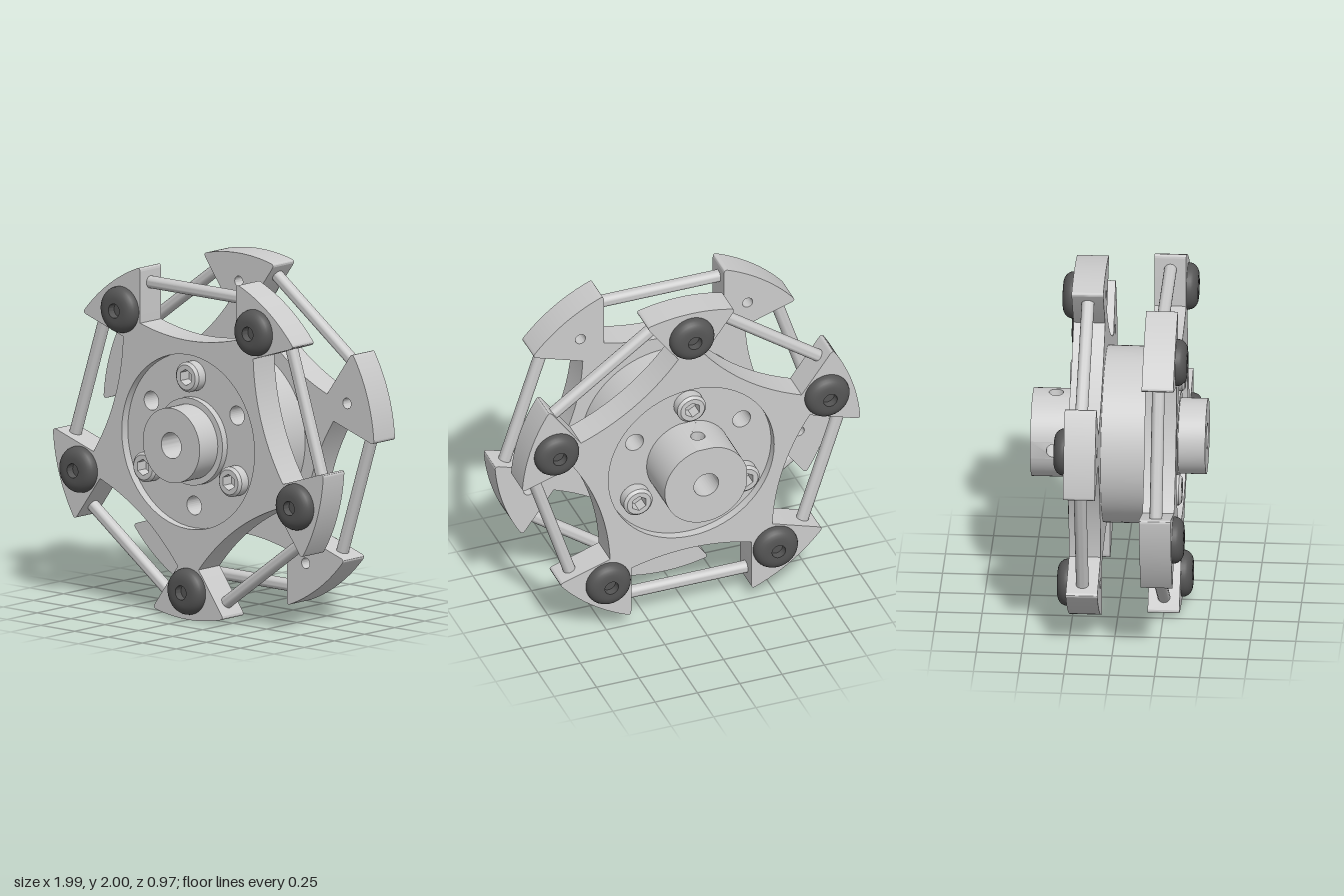
import * as THREE from 'three';
import { toCreasedNormals } from 'three/addons/utils/BufferGeometryUtils.js';

const RAD = Math.PI / 180;
const BORE = 0.073;
const grey = new THREE.MeshStandardMaterial({ color: 0xcccccc });
const dark = new THREE.MeshStandardMaterial({ color: 0x555555 });

const polar = (r, deg) => new THREE.Vector2(r * Math.cos(deg * RAD), r * Math.sin(deg * RAD));
// point at distance s along a direction and t sideways from it
const offset = (deg, s, t) => polar(s, deg).add(polar(t, deg + 90));

function circle(r, c = new THREE.Vector2(), Type = THREE.Path) {
  return new Type().absarc(c.x, c.y, r, 0, Math.PI * 2, false);
}

function add(parent, name, geometry, material = grey) {
  const mesh = new THREE.Mesh(toCreasedNormals(geometry, 0.6), material);
  mesh.name = name;
  parent.add(mesh);
  return mesh;
}

function slab(shape, z0, z1, curveSegments = 32) {
  const g = new THREE.ExtrudeGeometry(shape, { depth: z1 - z0, bevelEnabled: false, curveSegments });
  return g.translate(0, 0, z0);
}

// lathe turned about the z axis; the profile is [radius, z]
function turned(profile, segments = 48, start = 0, length = Math.PI * 2) {
  const pts = profile.map(([r, z]) => new THREE.Vector2(r, z));
  return new THREE.LatheGeometry(pts, segments, start, length).rotateX(Math.PI / 2);
}

// five-armed plate with flared arm ends
function plateShape(firstArm) {
  const shape = new THREE.Shape();
  const half = 0.355, waist = 0.62, tip = 0.935, round = 0.03;
  const to = (p) => shape.lineTo(p.x, p.y);
  const curve = (c, p) => shape.quadraticCurveTo(c.x, c.y, p.x, p.y);
  for (let k = 0; k < 5; k++) {
    const arm = firstArm + 72 * k, before = arm - 36, after = arm + 36;
    const start = offset(before, waist, half);
    if (k === 0) shape.moveTo(start.x, start.y);
    to(offset(before, tip - round, half));
    curve(offset(before, tip, half), polar(1, arm - 13.8));
    shape.absarc(0, 0, 1, (arm - 13.8) * RAD, (arm + 13.8) * RAD, false);
    curve(offset(after, tip, -half), offset(after, tip - round, -half));
    to(offset(after, waist, -half));
    curve(offset(after, 0.52, 0), offset(after, waist, half));
    shape.holes.push(circle(0.03, polar(0.84, arm)));
  }
  shape.holes.push(circle(0.49));
  return shape;
}

// domed bolt with a round socket, standing on z = 0
function buttonBolt() {
  const profile = [[0, 0], [0.13, 0], [0.13, 0.008]];
  for (let i = 1; i <= 6; i++) {
    const a = (i / 6) * Math.PI / 2;
    profile.push([0.065 + 0.065 * Math.cos(a), 0.008 + 0.054 * Math.sin(a)]);
  }
  profile.push([0.04, 0.062], [0.04, 0.015], [0, 0.015]);
  return turned(profile, 40);
}

// plate, rods and bolts of one side; outward is +1 for front, -1 for back
function wheelSide(name, firstArm, z0, z1, outward) {
  const side = new THREE.Group();
  side.name = name;
  add(side, 'plate', slab(plateShape(firstArm), z0, z1));
  for (let k = 0; k < 5; k++) {
    const arm = firstArm + 72 * k;
    const p = polar(0.84, arm);
    const bolt = add(side, 'armBolt', buttonBolt(), dark);
    bolt.position.set(p.x, p.y, outward > 0 ? z1 : z0);
    if (outward < 0) bolt.rotation.y = Math.PI;
    const m = polar(0.84, arm + 36);
    const rod = add(side, 'rollerRod', new THREE.CylinderGeometry(0.035, 0.035, 0.73, 24));
    rod.position.set(m.x, m.y, (z0 + z1) / 2);
    rod.rotation.z = (arm + 36) * RAD;
  }
  return side;
}

// socket screw with a hexagonal recess, standing on z = 0
function socketScrew() {
  const screw = new THREE.Group();
  screw.name = 'hubScrew';
  const face = circle(0.07, undefined, THREE.Shape);
  face.holes.push(new THREE.Path([0, 1, 2, 3, 4, 5].map((i) => polar(0.046, 30 + 60 * i))));
  add(screw, 'screwSocket', slab(face, 0, 0.07, 16));
  add(screw, 'screwRim', turned([[0.085, 0], [0.085, 0.055], [0.07, 0.07]], 32));
  return screw;
}

// hub wall patch with a radial hole, bent around the z axis
function drilledPatch(angle, halfDeg, R, z0, z1) {
  const w = halfDeg * RAD * R, zc = -0.355;
  const s = new THREE.Shape([[-w, z0], [w, z0], [w, z1], [-w, z1]].map(([x, y]) => new THREE.Vector2(x, y)));
  s.holes.push(circle(0.04, new THREE.Vector2(0, zc)));
  const g = slab(s, BORE, R, 12);
  const p = g.attributes.position;
  for (let i = 0; i < p.count; i++) {
    const a = angle * RAD + p.getX(i) / R, r = p.getZ(i), z = p.getY(i);
    p.setXYZ(i, r * Math.cos(a), r * Math.sin(a), z);
  }
  // the bend mirrors the patch, so swap two corners of every triangle
  const index = [];
  for (let i = 0; i < p.count; i += 3) index.push(i, i + 1, i + 2);
  const v = (a, b, c) => {
    const A = new THREE.Vector3().fromBufferAttribute(p, a);
    const B = new THREE.Vector3().fromBufferAttribute(p, b);
    const C = new THREE.Vector3().fromBufferAttribute(p, c);
    return B.sub(A).cross(C.sub(A)).dot(new THREE.Vector3(Math.cos(angle * RAD), Math.sin(angle * RAD), 0));
  };
  // outermost face comes second in the extrusion lids: test one of its triangles
  let outerSign = 0;
  for (let i = 0; i < p.count; i += 3) {
    const far = [0, 1, 2].every((j) => Math.hypot(p.getX(i + j), p.getY(i + j)) > R - 0.001);
    if (far) outerSign += v(i, i + 1, i + 2);
  }
  if (outerSign < 0) for (let i = 0; i < index.length; i += 3) [index[i], index[i + 1]] = [index[i + 1], index[i]];
  g.setIndex(index);
  return g;
}

function hub() {
  const group = new THREE.Group();
  group.name = 'hub';
  const zFront = 0.29, zBack = -0.205;

  // flange drum with bore and open screw holes
  const flange = circle(0.49, undefined, THREE.Shape);
  flange.holes.push(circle(BORE));
  for (const a of [30, 150, 270]) flange.holes.push(circle(0.053, polar(0.365, a)));
  add(group, 'flangeDrum', slab(flange, zBack, zFront, 48));

  // front boss with a low step
  add(group, 'frontBoss', turned([[0.245, zFront], [0.245, 0.33], [0.21, 0.33], [0.21, 0.48],
    [BORE, 0.48], [BORE, zFront]], 64));

  // back boss, drilled at the top and at one side
  const R = 0.245, z0 = -0.485, half = 12;
  const wall = [[BORE, zBack], [BORE, z0], [R, z0], [R, zBack]];
  // lathe angle equals the polar angle plus 90 degrees
  for (const [from, to] of [[90 + half, 180 - half], [180 + half, 450 - half]]) {
    add(group, 'backBoss', turned(wall, Math.round((to - from) / 5), (from + 90) * RAD, (to - from) * RAD));
  }
  for (const a of [90, 180]) add(group, 'setScrewHole', drilledPatch(a, half, R, z0, zBack));

  // screws on both faces
  for (const a of [90, 210, 330]) {
    const p = polar(0.365, a);
    const front = socketScrew(), back = socketScrew();
    front.position.set(p.x, p.y, zFront);
    back.position.set(p.x, p.y, zBack);
    back.rotation.y = Math.PI;
    group.add(front, back);
  }
  return group;
}

export function createModel() {
  const model = new THREE.Group();
  model.name = 'rollerWheelHub';
  const wheel = new THREE.Group();
  wheel.name = 'wheel';
  wheel.position.y = 1;
  wheel.add(
    wheelSide('frontSide', -90, 0.165, 0.34, 1),
    wheelSide('backSide', 90, -0.255, -0.08, -1),
    hub(),
  );
  model.add(wheel);
  return model;
}
